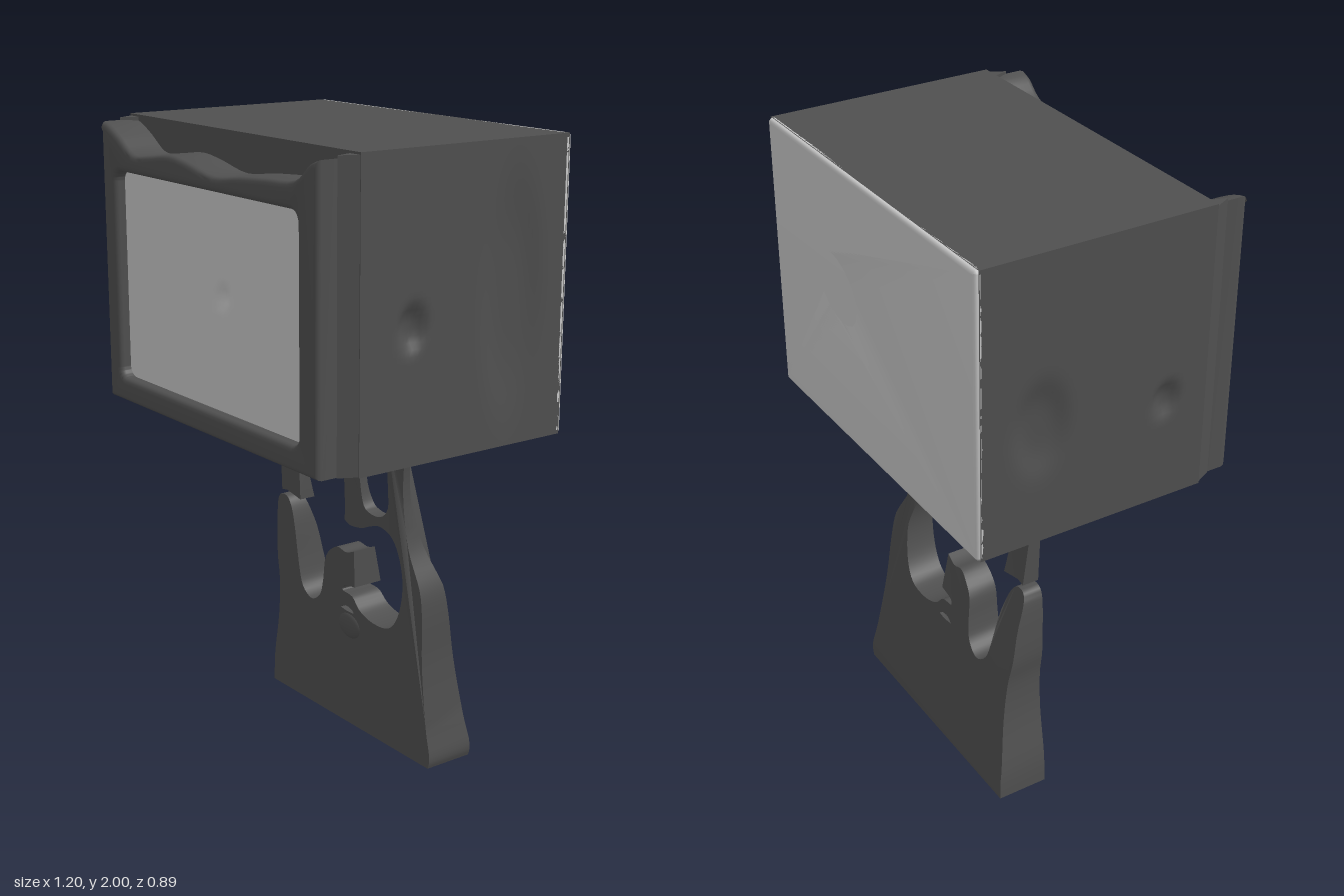
import * as THREE from 'three';
import { toCreasedNormals } from 'three/addons/utils/BufferGeometryUtils.js';

const dark = new THREE.MeshStandardMaterial({ color: 0x505050, side: THREE.DoubleSide });
const light = new THREE.MeshStandardMaterial({ color: 0xcccccc });

const pts = (list) => list.map(([x, y]) => new THREE.Vector2(x, y));
const smooth = (list, n = 4) => new THREE.SplineCurve(pts(list)).getPoints((list.length - 1) * n);

function add(parent, name, geometry, material) {
  const mesh = new THREE.Mesh(geometry, material);
  mesh.name = name;
  parent.add(mesh);
  return mesh;
}

// Moves every vertex of a geometry by a rule
function deform(geometry, rule) {
  const p = geometry.attributes.position;
  const v = new THREE.Vector3();
  for (let i = 0; i < p.count; i++) {
    rule(v.fromBufferAttribute(p, i));
    p.setXYZ(i, v.x, v.y, v.z);
  }
  geometry.computeVertexNormals();
  return geometry;
}

// Soft hollow with radii ru, rv; returns its depth at (u, v)
const hollow = (u, v, ru, rv, depth) =>
  depth * Math.exp(-Math.pow((u / ru) ** 2 + (v / rv) ** 2, 2));

function roundedRect(path, x0, y0, x1, y1, r) {
  path.moveTo(x0 + r, y0);
  path.absarc(x1 - r, y0 + r, r, -Math.PI / 2, 0);
  path.absarc(x1 - r, y1 - r, r, 0, Math.PI / 2);
  path.absarc(x0 + r, y1 - r, r, Math.PI / 2, Math.PI);
  path.absarc(x0 + r, y0 + r, r, Math.PI, Math.PI * 1.5);
  return path;
}

function bevelled(shape, z0, z1, b) {
  const g = new THREE.ExtrudeGeometry(shape, {
    depth: z1 - z0 - 2 * b, bevelThickness: b, bevelSize: b, bevelOffset: -b,
    bevelSegments: 3, curveSegments: 10,
  });
  g.translate(0, 0, z0 + b);
  return toCreasedNormals(g, 0.7);
}

// Hollow cabinet with dented sides, open at the back
function cabinetGeometry() {
  const g = new THREE.BoxGeometry(1.2, 0.9, 0.755, 2, 48, 48);
  const back = g.groups[5];
  g.setIndex(Array.from(g.index.array).slice(0, back.start));
  g.clearGroups();
  g.translate(0, 1.55, -0.0575);
  return deform(g, (v) => {
    if (v.x > 0.59) {
      v.x -= hollow(v.z + 0.23, v.y - 1.55, 0.1, 0.32, 0.018)
        + hollow(v.z - 0.135, v.y - 1.5, 0.045, 0.06, 0.025);
    } else if (v.x < -0.59) {
      v.x += hollow(v.z + 0.24, v.y - 1.47, 0.08, 0.13, 0.02)
        + hollow(v.z - 0.18, v.y - 1.43, 0.04, 0.05, 0.02);
    }
  });
}

// Front frame with a sagging top edge and a rounded screen opening
function bezelGeometry() {
  const top = smooth([[0.57, 1.985], [0.53, 1.97], [0.46, 1.92], [0.33, 1.91], [0.2, 1.9],
    [0.06, 1.885], [-0.08, 1.91], [-0.18, 1.92], [-0.3, 1.905], [-0.39, 1.9],
    [-0.47, 1.945], [-0.53, 1.975], [-0.57, 1.985]]);
  const shape = new THREE.Shape([...pts([[-0.57, 1.105], [0.57, 1.105]]), ...top]);
  shape.holes.push(roundedRect(new THREE.Path(), -0.5, 1.18, 0.48, 1.84, 0.035));
  return bevelled(shape, 0.3, 0.445, 0.018);
}

// Front and back depth of the stand at each height: [y, zFront, zBack]
const standDepth = [[0, -0.106, -0.275], [0.06, -0.105, -0.273], [0.3, -0.096, -0.23],
  [0.6, -0.086, -0.18], [0.72, -0.08, -0.14], [0.86, -0.075, -0.105],
  [1.0, -0.07, -0.094], [1.06, -0.065, -0.094], [1.12, -0.025, -0.115]];

function standGeometry(outline, holes = []) {
  const shape = new THREE.Shape(outline);
  holes.forEach((h) => shape.holes.push(new THREE.Path(h)));
  const g = new THREE.ExtrudeGeometry(shape, { depth: 1, bevelEnabled: false });
  deform(g, (v) => {
    let i = 0;
    while (i < standDepth.length - 2 && v.y > standDepth[i + 1][0]) i++;
    const [a, b] = [standDepth[i], standDepth[i + 1]];
    const t = THREE.MathUtils.clamp((v.y - a[0]) / (b[0] - a[0]), 0, 1);
    const front = THREE.MathUtils.lerp(a[1], b[1], t);
    const rear = THREE.MathUtils.lerp(a[2], b[2], t);
    v.z = THREE.MathUtils.lerp(rear, front, v.z);
  });
  return toCreasedNormals(g, 0.6);
}

export function createModel() {
  const model = new THREE.Group();
  model.name = 'screenOnStand';

  const housing = new THREE.Group();
  housing.name = 'housing';
  model.add(housing);
  add(housing, 'cabinet', cabinetGeometry(), dark);
  add(housing, 'bezel', bezelGeometry(), dark);

  // Tapered cheeks joining the cabinet to the narrower bezel
  for (const s of [-1, 1]) {
    const wedge = new THREE.Shape(pts([[s * 0.6, -0.315], [s * 0.57, -0.375], [s * 0.55, -0.315]]));
    const g = new THREE.ExtrudeGeometry(wedge, { depth: 0.89, bevelEnabled: false });
    g.rotateX(-Math.PI / 2).translate(0, 1.103, 0);
    add(housing, s > 0 ? 'leftCheek' : 'rightCheek', g, dark);
  }

  // Screen with a small dimple
  const screen = new THREE.PlaneGeometry(1.02, 0.7, 50, 36).translate(-0.01, 1.51, 0.405);
  add(housing, 'screen', deform(screen, (v) => {
    v.z -= hollow(v.x - 0.05, v.y - 1.53, 0.03, 0.03, 0.015);
  }), light);

  // Rear panel with a slanted opening
  const rear = roundedRect(new THREE.Shape(), -0.6, 1.1, 0.6, 2.0, 0.012);
  const opening = new THREE.Path();
  opening.absellipse(0.19, 1.61, 0.115, 0.08, 0, Math.PI * 2, false, 0.5);
  rear.holes.push(opening);
  add(housing, 'rearPanel', bevelled(rear, -0.447, -0.41, 0.015), light);

  const stand = new THREE.Group();
  stand.name = 'stand';
  model.add(stand);

  // Base plate, left prong, middle stub, large gap, neck and right edge
  const outline = [
    ...smooth([[-0.445, 0], [-0.437, 0.1], [-0.4, 0.27], [-0.388, 0.4], [-0.395, 0.5],
      [-0.385, 0.65], [-0.37, 0.71], [-0.34, 0.725], [-0.31, 0.71], [-0.29, 0.65],
      [-0.27, 0.5], [-0.25, 0.42], [-0.2, 0.388], [-0.15, 0.42], [-0.13, 0.48],
      [-0.11, 0.57], [-0.05, 0.62], [0, 0.615], [0.045, 0.63]]),
    ...smooth([[0.045, 0.505], [-0.01, 0.495], [-0.02, 0.475], [0.03, 0.468], [0.07, 0.43],
      [0.14, 0.41], [0.22, 0.42], [0.27, 0.48], [0.295, 0.58], [0.285, 0.67], [0.25, 0.735],
      [0.19, 0.757], [0.14, 0.745], [0.09, 0.725], [0.03, 0.718], [0, 0.73]]),
    ...smooth([[0.005, 0.76], [0.005, 0.85], [0, 0.98], [-0.03, 1.04], [-0.1, 1.1], [-0.12, 1.12]]),
    ...smooth([[0.37, 1.12], [0.35, 1.09], [0.325, 1.04], [0.31, 0.95], [0.31, 0.85],
      [0.33, 0.72], [0.38, 0.6], [0.39, 0.5], [0.387, 0.35], [0.4, 0.15], [0.418, 0.04], [0.41, 0]]),
  ];
  const neckGap = smooth([[0.07, 1.095], [0.08, 1.04], [0.085, 0.93], [0.1, 0.82], [0.13, 0.79],
    [0.19, 0.79], [0.23, 0.83], [0.235, 0.92], [0.245, 1.05], [0.26, 1.095]]);
  const slit = smooth([[-0.035, 0.412], [-0.01, 0.425], [0.02, 0.422], [0.035, 0.41],
    [0, 0.408], [-0.035, 0.412]]);
  add(stand, 'standPlate', standGeometry(outline, [neckGap, slit]), dark);

  // Low swelling beneath the slit
  const swelling = add(stand, 'swelling', new THREE.SphereGeometry(1, 24, 16), dark);
  swelling.scale.set(0.06, 0.045, 0.018);
  swelling.position.set(0.01, 0.36, -0.1);

  // Detached pieces above the left prong
  add(stand, 'looseStrip', standGeometry(pts([[-0.35, 0.74], [-0.32, 0.745], [-0.245, 0.73],
    [-0.245, 0.83], [-0.26, 0.92], [-0.3, 1.02], [-0.325, 1.035], [-0.345, 1.02], [-0.35, 0.87]])), dark);
  const chip = add(stand, 'looseChip', new THREE.TetrahedronGeometry(0.015), dark);
  chip.position.set(-0.335, 1.055, -0.105);

  return model;
}
